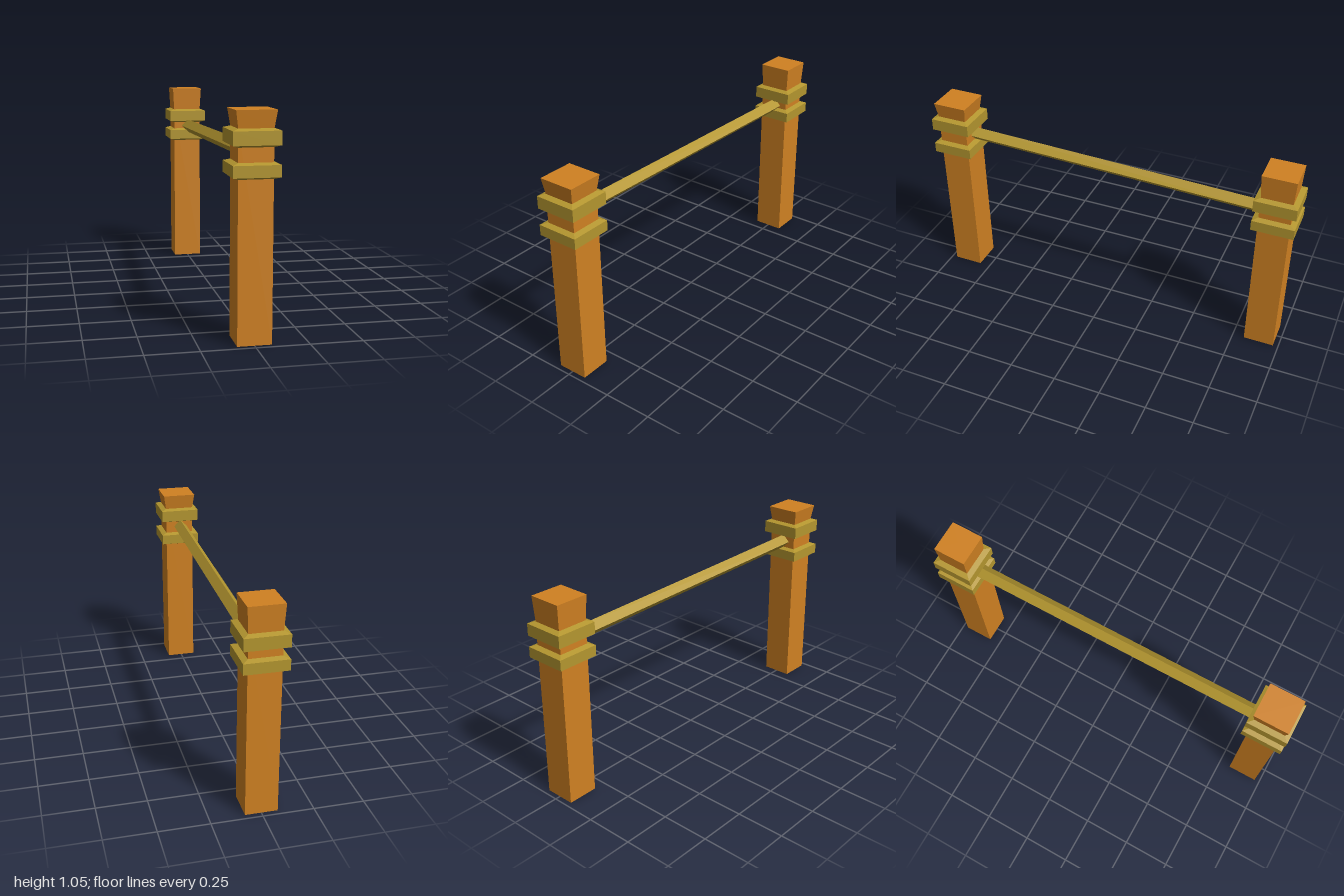
import * as THREE from 'three';

const wood = new THREE.MeshStandardMaterial({ color: 0xd08122, side: THREE.DoubleSide });
wood.name = 'orange wood';
const rope = new THREE.MeshStandardMaterial({ color: 0xb4962f, side: THREE.DoubleSide });
rope.name = 'olive rope';

// Square-section solid from [half width, height] pairs, listed bottom to top
function squareLathe(profile) {
  const points = profile.map(([half, y]) => new THREE.Vector2(half * Math.SQRT2, y));
  const geometry = new THREE.LatheGeometry(points, 4, Math.PI / 4).toNonIndexed();
  geometry.computeVertexNormals();
  return geometry;
}

function addMesh(parent, name, geometry, material) {
  const mesh = new THREE.Mesh(geometry, material);
  mesh.name = name;
  parent.add(mesh);
  return mesh;
}

// Post with a flared head, open underneath, wrapped by two bevelled bands
function makePost(name, z, topHalf, bands) {
  const post = new THREE.Group();
  post.name = name;
  post.position.z = z;
  const neck = bands[0][1];
  addMesh(post, 'postBody', squareLathe([
    [0.08, 0], [0.08, neck], [topHalf, 1.05], [0, 1.05],
  ]), wood);
  for (const [low, high] of bands) {
    addMesh(post, 'band', squareLathe([
      [0.08, low], [0.108, low + 0.01], [0.108, high - 0.009], [0.08, high],
    ]), rope);
  }
  return post;
}

export function createModel() {
  const model = new THREE.Group();
  model.name = 'ropeFence';
  model.add(makePost('frontPost', 0.892, 0.092, [[0.888, 0.97], [0.749, 0.822]]));
  model.add(makePost('backPost', -0.892, 0.087, [[0.843, 0.923], [0.732, 0.805]]));

  // Diamond-section rail sloping down to the back, ends sunk into the posts
  const start = new THREE.Vector3(0.005, 0.82, -0.85);
  const end = new THREE.Vector3(-0.007, 0.859, 0.85);
  const geometry = new THREE.CylinderGeometry(0.038, 0.038, start.distanceTo(end), 4).toNonIndexed();
  geometry.computeVertexNormals();
  geometry.rotateX(Math.PI / 2);
  const rail = addMesh(model, 'rail', geometry, rope);
  rail.position.copy(start).lerp(end, 0.5);
  rail.lookAt(end);
  return model;
}
